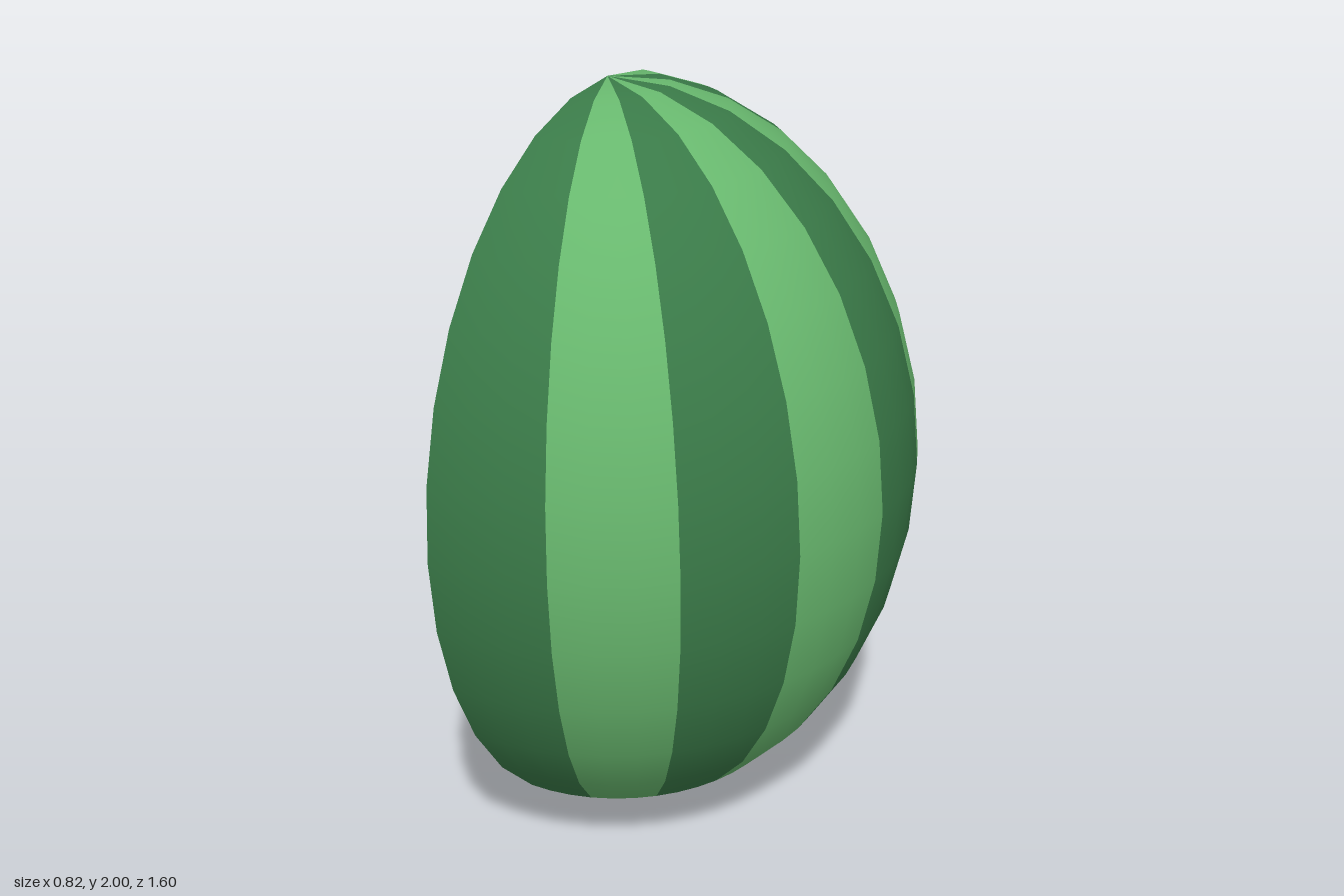
import * as THREE from 'three';

const CUT = -0.39; // x of the cut face

const flat = (name, color) => {
  const m = new THREE.MeshStandardMaterial({ color });
  m.name = name;
  return m;
};

export function createModel() {
  const darkGreen = flat('dark green', 0x3a7a48);
  const lightGreen = flat('light green', 0x68b86e);
  const pale = flat('pale rind', 0xe0ecdc);
  const red = flat('red flesh', 0xe4586c);
  const black = flat('seed black', 0x2a2a2a);

  const model = new THREE.Group();
  model.name = 'halfMelon';
  const add = (name, geometry, material, x, y, z) => {
    const mesh = new THREE.Mesh(geometry, material);
    mesh.name = name;
    mesh.position.set(x, y, z);
    model.add(mesh);
  };

  // Striped skin: eight wedges of half an ellipsoid, from front to back
  for (let i = 0; i < 8; i++) {
    const wedge = new THREE.SphereGeometry(1, 2, 16, Math.PI / 2 + i * Math.PI / 8, Math.PI / 8);
    wedge.scale(0.8, 1, 0.8);
    add('skinStripe' + (i + 1), wedge, i % 2 ? lightGreen : darkGreen, CUT, 1, 0);
  }

  // Cut face: pale rind with the flesh just proud of it
  const disc = (ry, rz, segments) =>
    new THREE.CircleGeometry(1, segments).scale(rz, ry, 1).rotateY(-Math.PI / 2);
  add('rindFace', disc(1, 0.8, 32), pale, CUT, 1, 0);
  add('fleshFace', disc(0.86, 0.69, 32), red, CUT - 0.003, 1, 0);

  // Ring of seeds
  const seed = new THREE.SphereGeometry(1, 8, 6).scale(0.015, 0.055, 0.032);
  for (let i = 0; i < 8; i++) {
    const a = 0.415 + i * Math.PI / 4;
    add('seed' + (i + 1), seed, black, CUT - 0.006, 1 + 0.5 * Math.sin(a), 0.37 * Math.cos(a));
  }
  return model;
}
